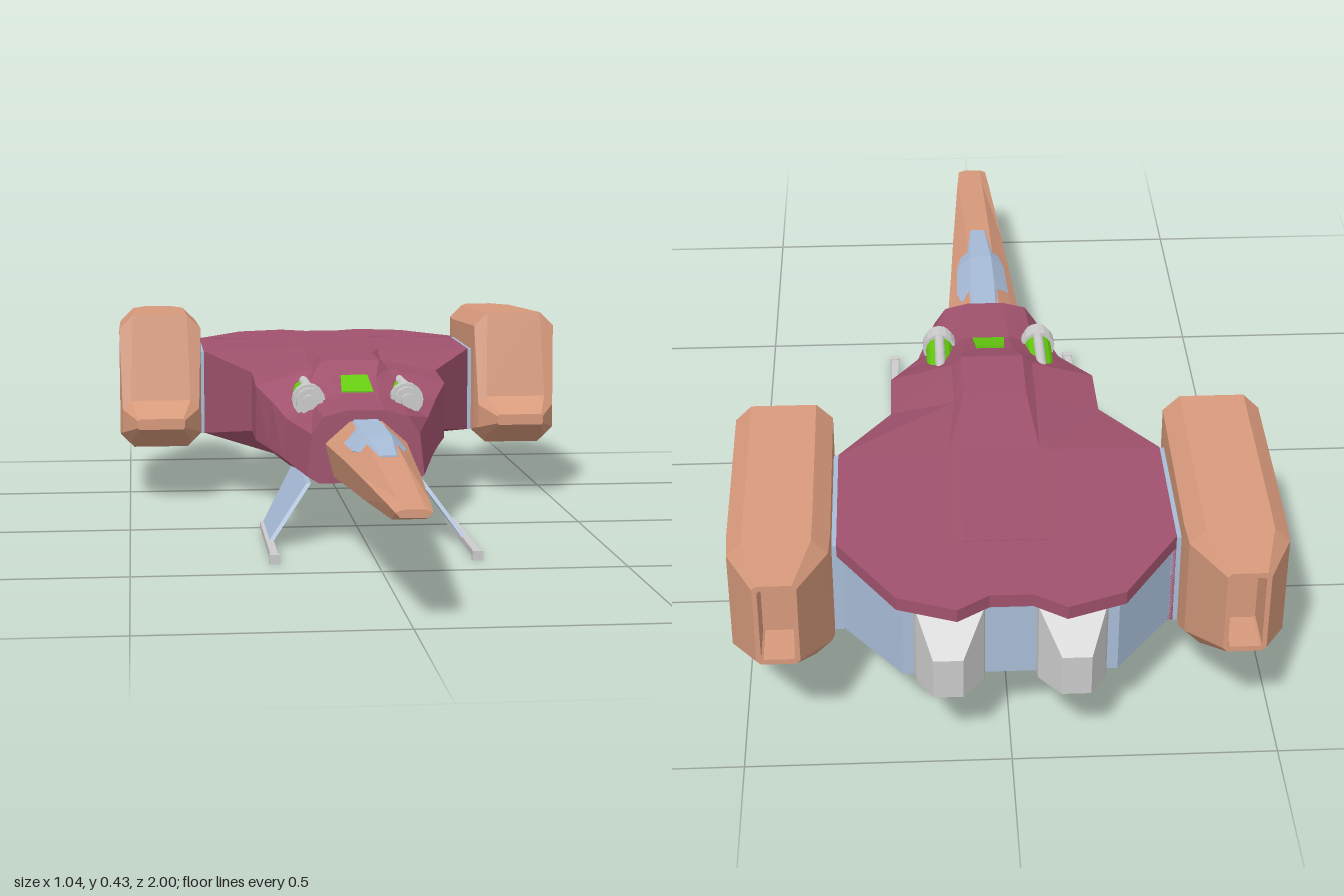
import * as THREE from 'three';

const mat = (color) => new THREE.MeshStandardMaterial({ color, flatShading: true });

// Skin a list of equal-length rings of [x, y, z] points, closed with end caps and facing outward.
function loft(rings) {
  const tris = [];
  const n = rings[0].length;
  for (let i = 0; i < rings.length - 1; i++) {
    for (let j = 0; j < n; j++) {
      const k = (j + 1) % n;
      const [a, b, c, d] = [rings[i][j], rings[i][k], rings[i + 1][k], rings[i + 1][j]];
      tris.push([a, b, c], [a, c, d]);
    }
  }
  const cap = (ring, flip) => {
    const mid = [0, 1, 2].map((q) => ring.reduce((sum, p) => sum + p[q], 0) / n);
    ring.forEach((p, j) => {
      const next = ring[(j + 1) % n];
      tris.push(flip ? [mid, next, p] : [mid, p, next]);
    });
  };
  cap(rings[0], true);
  cap(rings[rings.length - 1], false);
  const v = (p) => new THREE.Vector3(...p);
  const volume = tris.reduce((sum, [a, b, c]) => sum + v(a).dot(v(b).cross(v(c))), 0);
  if (volume < 0) tris.forEach((t) => t.reverse());
  const geo = new THREE.BufferGeometry();
  geo.setAttribute('position', new THREE.Float32BufferAttribute(tris.flat(2), 3));
  geo.computeVertexNormals();
  return geo;
}

// Symmetric ring from right-hand points listed top to bottom.
const mirrored = (z, half) => [
  ...half.map(([x, y]) => [x, y, z]),
  ...half.slice().reverse().map(([x, y]) => [-x, y, z]),
];

// Chamfered rectangle ring.
function octagon(cx, hw, y0, y1, z, c) {
  return [
    [cx - hw + c, y1, z], [cx + hw - c, y1, z], [cx + hw, y1 - c, z], [cx + hw, y0 + c, z],
    [cx + hw - c, y0, z], [cx - hw + c, y0, z], [cx - hw, y0 + c, z], [cx - hw, y1 - c, z],
  ];
}

const rect = (x0, x1, y0, y1, z) => [[x0, y0, z], [x1, y0, z], [x1, y1, z], [x0, y1, z]];

// Horizontal slab from a mirrored plan outline of [x, z] points.
function slab(half, y0, y1) {
  const outline = [...half, ...half.slice().reverse().map(([x, z]) => [-x, z])];
  return loft([y0, y1].map((y) => outline.map(([x, z]) => [x, y, z])));
}

export function createModel() {
  const model = new THREE.Group();
  model.name = 'spacecraft';
  const purple = mat(0xa0526d);
  const tan = mat(0xd89a7c);
  const blue = mat(0xa8bcd8);
  const green = mat(0x66cc11);
  const grey = mat(0xcccccc);
  const add = (name, geo, material, x = 0, y = 0, z = 0) => {
    const mesh = new THREE.Mesh(geo, material);
    mesh.name = name;
    mesh.position.set(x, y, z);
    model.add(mesh);
    return mesh;
  };

  // Main hull
  add('hull', loft([
    mirrored(0.2, [[0.04, 0.285], [0.09, 0.272], [0.115, 0.235], [0.125, 0.145], [0.1, 0.13]]),
    mirrored(0.03, [[0.045, 0.298], [0.1, 0.278], [0.155, 0.245], [0.165, 0.16], [0.115, 0.12]]),
    mirrored(-0.06, [[0.05, 0.325], [0.11, 0.3], [0.185, 0.275], [0.19, 0.168], [0.12, 0.115]]),
    mirrored(-0.14, [[0.065, 0.355], [0.085, 0.335], [0.215, 0.3], [0.215, 0.175], [0.13, 0.11]]),
    mirrored(-0.29, [[0.065, 0.355], [0.085, 0.338], [0.215, 0.312], [0.215, 0.175], [0.13, 0.11]]),
    mirrored(-0.48, [[0.08, 0.347], [0.1, 0.345], [0.32, 0.343], [0.32, 0.145], [0.13, 0.13]]),
    mirrored(-0.78, [[0.08, 0.346], [0.1, 0.345], [0.32, 0.343], [0.32, 0.145], [0.13, 0.135]]),
  ]), purple);

  // Tail: roof plate over a blue block
  add('tailRoof', slab([[0.32, -0.77], [0.32, -0.78], [0.21, -0.945], [0.1, -0.985], [0.04, -0.945]], 0.318, 0.345), purple);
  add('tailBlock', slab([[0.31, -0.77], [0.31, -0.785], [0.2, -0.925], [0.05, -0.925]], 0.15, 0.32), blue);

  // Long tapering nose: z, top, shoulder x, side x, side y, bottom x, bottom
  const noseRows = [
    [0.18, 0.262, 0.035, 0.088, 0.215, 0.07, 0.143],
    [0.45, 0.258, 0.03, 0.07, 0.217, 0.055, 0.157],
    [0.62, 0.248, 0.028, 0.06, 0.217, 0.047, 0.166],
    [0.92, 0.222, 0.022, 0.04, 0.213, 0.03, 0.183],
    [1.0, 0.215, 0.02, 0.034, 0.21, 0.025, 0.2],
  ];
  add('nose', loft(noseRows.map(([z, top, xs, xm, ym, xb, bottom]) =>
    mirrored(z, [[xs, top], [xm, ym], [xb, bottom]]))), tan);

  // Canopy
  add('canopy', loft([
    mirrored(0.19, [[0.025, 0.266], [0.035, 0.255], [0.02, 0.23]]),
    mirrored(0.33, [[0.027, 0.266], [0.06, 0.235], [0.03, 0.22]]),
    mirrored(0.45, [[0.025, 0.266], [0.055, 0.237], [0.03, 0.22]]),
    mirrored(0.61, [[0.015, 0.251], [0.018, 0.249], [0.01, 0.235]]),
  ]), blue);

  // Green panel on the sloping deck
  add('deckPanel', loft([
    rect(-0.035, 0.035, 0.29, 0.304, 0.02),
    rect(-0.03, 0.03, 0.315, 0.331, -0.058),
  ]), green);

  for (const s of [1, -1]) {
    const side = s > 0 ? 'left' : 'right';

    // Side pod, hollow at the rear: z, half width, bottom, top, chamfer
    const podRows = [
      [-0.33, 0.055, 0.175, 0.2, 0.004],
      [-0.4, 0.09, 0.14, 0.235, 0.02],
      [-0.435, 0.096, 0.123, 0.434, 0.032],
      [-0.455, 0.096, 0.117, 0.433, 0.032],
      [-0.8, 0.096, 0.115, 0.418, 0.032],
      [-0.86, 0.093, 0.152, 0.416, 0.03],
      [-0.985, 0.04, 0.232, 0.41, 0.008],
      [-0.985, 0.031, 0.243, 0.399, 0.004],
      [-0.9, 0.031, 0.243, 0.399, 0.004],
    ];
    add(side + 'Pod', loft(podRows.map(([z, hw, y0, y1, c]) => octagon(s * 0.425, hw, y0, y1, z, c))), tan);
    add(side + 'PodMount', new THREE.BoxGeometry(0.03, 0.197, 0.3), blue, s * 0.323, 0.243, -0.63);

    // Tail nozzle with sloped top and tapered end
    add(side + 'Nozzle', loft([
      rect(s * 0.045, s * 0.185, 0.15, 0.325, -0.9),
      rect(s * 0.05, s * 0.175, 0.15, 0.315, -0.945),
      rect(s * 0.09, s * 0.145, 0.155, 0.24, -1.0),
    ]), grey);

    // Deck gun: green body, grey top rod, collar and muzzle
    const gun = new THREE.Group();
    gun.name = side + 'Gun';
    gun.position.set(s * 0.108, 0.286, 0);
    const tube = (name, r, z0, z1, material) => {
      const mesh = new THREE.Mesh(new THREE.CylinderGeometry(r, r, z1 - z0, 16).rotateX(Math.PI / 2), material);
      mesh.name = name;
      mesh.position.z = (z0 + z1) / 2;
      gun.add(mesh);
      return mesh;
    };
    tube('gunBody', 0.029, -0.13, 0.02, green);
    tube('gunRod', 0.011, -0.13, 0.02, grey).position.y = 0.025;
    tube('gunCollar', 0.036, 0.005, 0.035, grey);
    tube('gunBarrel', 0.029, 0.035, 0.055, grey);
    tube('gunMuzzle', 0.016, 0.055, 0.07, grey);
    model.add(gun);

    // Landing strut and skid
    const strut = (dx) => [
      [s * (0.12 + dx), 0.13, 0.19], [s * (0.12 + dx), 0.13, -0.15],
      [s * (0.205 + dx), 0.014, 0.02], [s * (0.205 + dx), 0.014, 0.24],
    ];
    add(side + 'Strut', loft([strut(-0.004), strut(0.006)]), blue);
    add(side + 'Skid', new THREE.BoxGeometry(0.016, 0.014, 0.39), grey, s * 0.208, 0.011, 0.215);
    add(side + 'SkidTip', new THREE.BoxGeometry(0.022, 0.02, 0.015), grey, s * 0.208, 0.01, 0.402);
  }
  return model;
}
